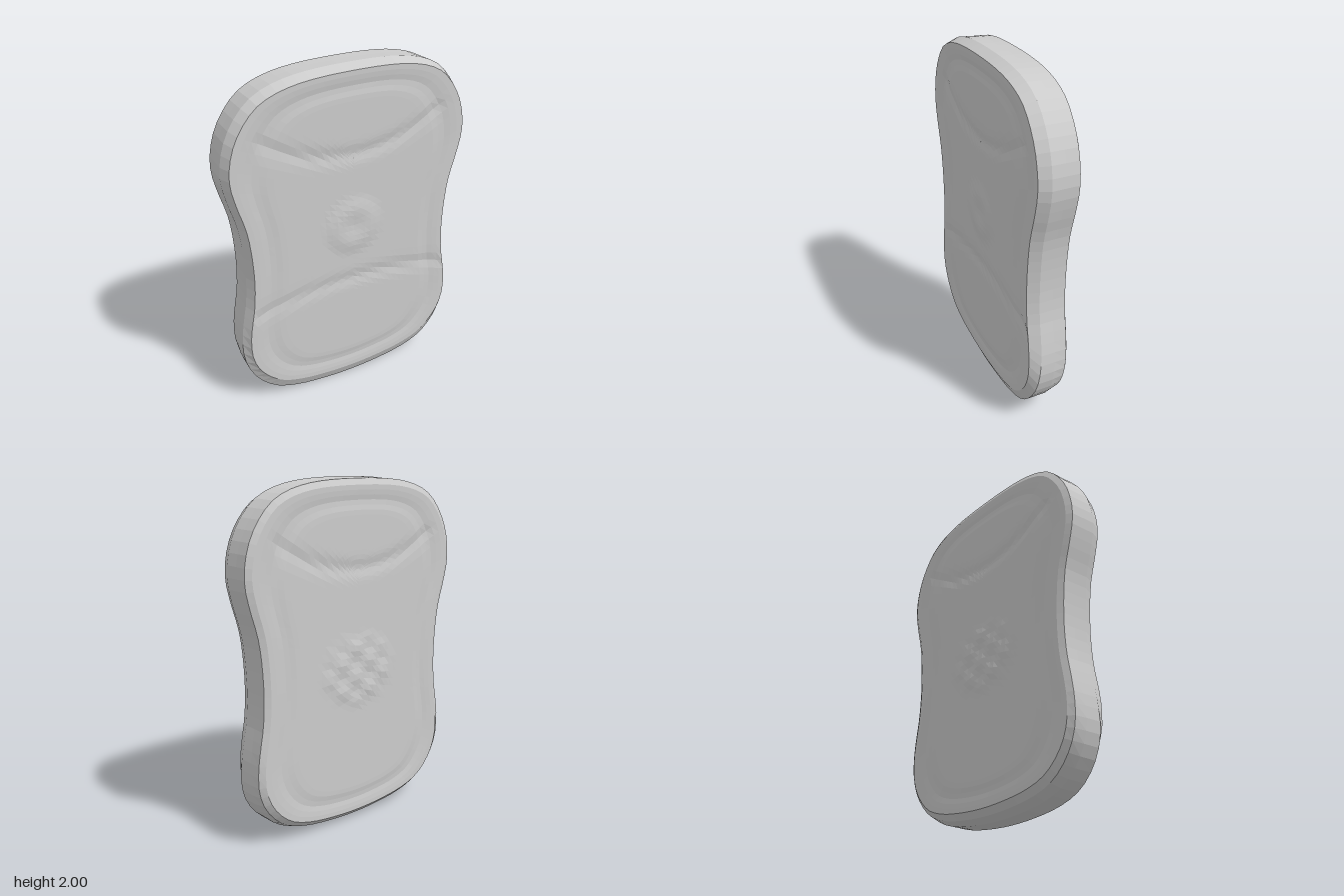
import * as THREE from 'three';

const SEGMENTS = 96;
const FACE_RINGS = 18;

// Right half of the silhouette, top to bottom (x, y)
const HALF = [
  [0, 2], [0.2, 1.995], [0.34, 1.98], [0.46, 1.95], [0.56, 1.9], [0.645, 1.81], [0.705, 1.7],
  [0.736, 1.57], [0.736, 1.48], [0.71, 1.36], [0.67, 1.22], [0.652, 1.1], [0.642, 0.9],
  [0.652, 0.73], [0.675, 0.6], [0.692, 0.48], [0.692, 0.36], [0.66, 0.25], [0.59, 0.15],
  [0.5, 0.08], [0.37, 0.035], [0.2, 0.01], [0, 0],
];

// Closed, mirrored silhouette running clockwise from the top centre
function makeOutline() {
  const right = HALF.map(([x, y]) => new THREE.Vector3(x, y, 0));
  const left = HALF.slice(1, -1).reverse().map(([x, y]) => new THREE.Vector3(-x, y, 0));
  const curve = new THREE.CatmullRomCurve3([...right, ...left], true);
  return curve.getSpacedPoints(SEGMENTS).slice(0, SEGMENTS);
}

// Shrink the silhouette by a distance along its normals
function inset(outline, distance) {
  return outline.map((p, i) => {
    const before = outline[(i + SEGMENTS - 1) % SEGMENTS];
    const after = outline[(i + 1) % SEGMENTS];
    const t = after.clone().sub(before).normalize();
    const d = distance(p.y);
    return new THREE.Vector3(p.x + t.y * d, p.y - t.x * d, 0);
  });
}

// Skin a list of closed rings, ordered from the front centre to the back centre
function loft(rings) {
  const position = rings.flatMap((ring) => ring.flatMap((p) => [p.x, p.y, p.z]));
  const index = [];
  for (let j = 0; j < rings.length - 1; j++) {
    for (let i = 0; i < SEGMENTS; i++) {
      const next = (i + 1) % SEGMENTS;
      const a = j * SEGMENTS + i, b = j * SEGMENTS + next;
      const c = b + SEGMENTS, d = a + SEGMENTS;
      index.push(a, b, c, a, c, d);
    }
  }
  const geometry = new THREE.BufferGeometry();
  geometry.setAttribute('position', new THREE.Float32BufferAttribute(position, 3));
  geometry.setIndex(index);
  geometry.computeVertexNormals();
  return geometry;
}

const bump = (value, width) => Math.exp(-((value / width) ** 2));
const fade = (value, limit) => 1 - THREE.MathUtils.smoothstep(value, limit - 0.1, limit);

// Groove following the edge, and the sagging crease below the top panel
function sharedRelief(x, y, s) {
  const crease = bump(y - (1.51 + 0.55 * x * x), 0.04) * fade(Math.abs(x), 0.6);
  return -0.008 * bump(s - 0.82, 0.07) - 0.01 * crease;
}

// Front: raised central boss with a dimple, and a crease across the waist
function frontRelief(x, y, s) {
  const r = Math.hypot(x, y - 1.07);
  const boss = 0.011 * fade(r, 0.2) - 0.008 * bump(r, 0.06);
  const waist = -0.009 * bump(y - (0.72 - 0.2 * x * x), 0.04) * fade(Math.abs(x), 0.68);
  return sharedRelief(x, y, s) + boss + waist;
}

// Back: uneven raised patch in the middle
function backRelief(x, y, s) {
  const r = Math.hypot(x / 1.25, y - 0.93);
  const ripple = Math.sin(x * 31 + 1) * Math.sin(y * 37);
  return sharedRelief(x, y, s) + fade(r, 0.24) * (0.006 + 0.006 * ripple);
}

// Concentric rings from a vertical spine out to the edge of a face
function faceRings(edge, side, depth, relief) {
  return Array.from({ length: FACE_RINGS + 1 }, (_, k) => {
    const s = k / FACE_RINGS;
    return edge.map((p) => {
      const spineY = 1 + (p.y - 1) * 0.5;
      const x = p.x * s;
      const y = THREE.MathUtils.lerp(spineY, p.y, s);
      const raise = k === FACE_RINGS ? 0 : relief(x, y, s);
      return new THREE.Vector3(x, y, side * (depth + raise));
    });
  });
}

export function createModel() {
  const group = new THREE.Group();
  group.name = 'contouredPad';
  const material = new THREE.MeshStandardMaterial({ color: 0xcccccc, flatShading: true });
  const outline = makeOutline();

  // The front bevel widens towards the bottom
  const low = (y) => 1 - THREE.MathUtils.smoothstep(y, 0, 0.6);
  const frontEdge = inset(outline, (y) => 0.026 + 0.036 * low(y));
  const backEdge = inset(outline, (y) => 0.04 + 0.02 * low(y));

  const front = faceRings(frontEdge, 1, 0.115, frontRelief);
  const back = faceRings(backEdge, -1, 0.118, backRelief).reverse();
  const rim = [
    front[FACE_RINGS],
    outline.map((p) => new THREE.Vector3(p.x, p.y, 0.052 + 0.035 * low(p.y))),
    inset(outline, () => 0.004).map((p) => p.setZ(-0.025)),
    inset(outline, (y) => 0.006 + 0.02 * low(y)).map((p) => p.setZ(-0.1 + 0.015 * low(p.y))),
    back[0],
  ];

  for (const [name, rings] of [['frontFace', front], ['rim', rim], ['backFace', back]]) {
    const mesh = new THREE.Mesh(loft(rings), material);
    mesh.name = name;
    group.add(mesh);
  }
  return group;
}
